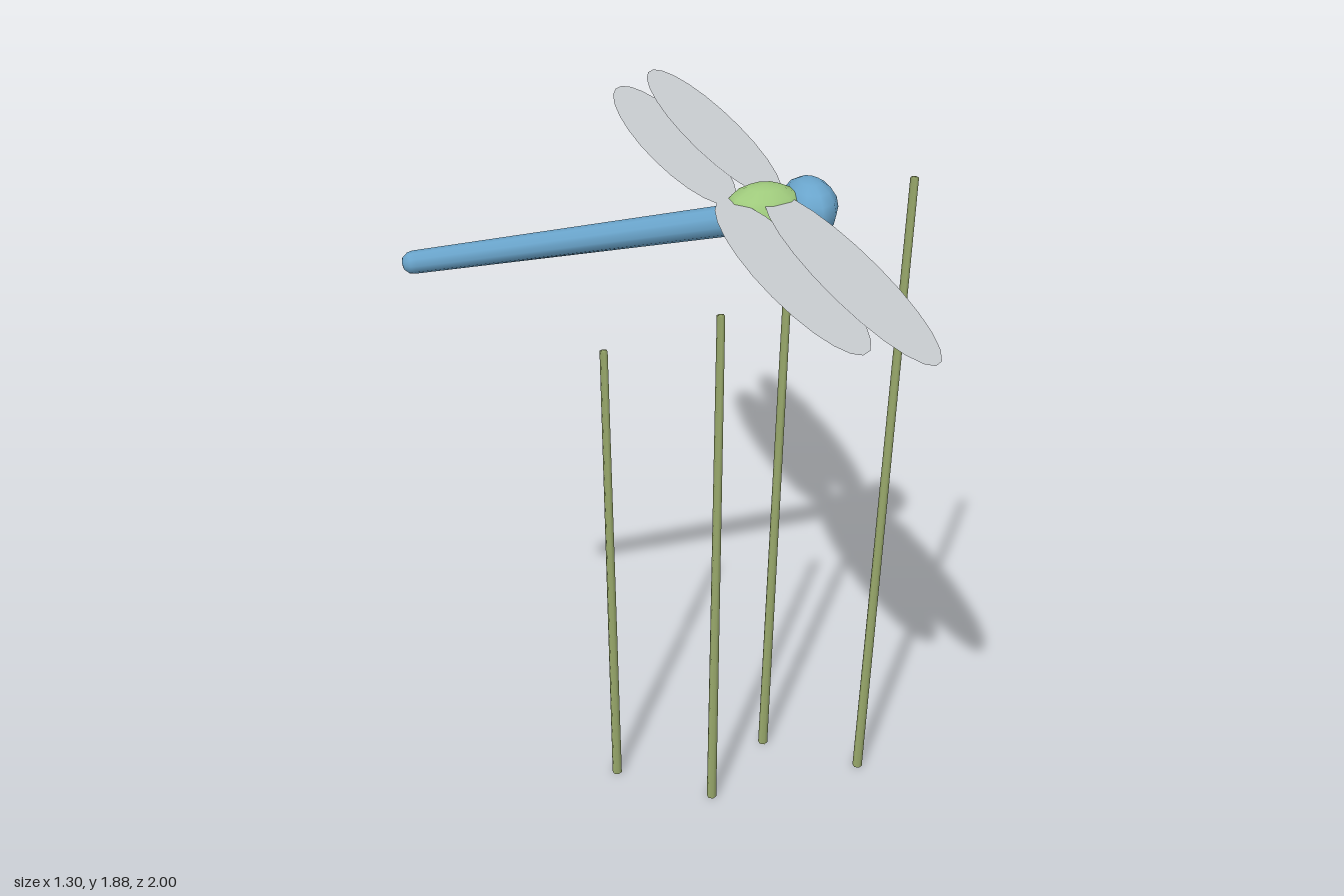
import * as THREE from 'three';
import { mergeVertices } from 'three/addons/utils/BufferGeometryUtils.js';

const flat = (name, color, side = THREE.FrontSide) => {
  const m = new THREE.MeshStandardMaterial({ color, side });
  m.name = name;
  return m;
};

export function createModel() {
  const blue = flat('blue', 0x6aa5cc);
  const green = flat('leafGreen', 0x9fca7c);
  const reed = flat('reedGreen', 0x9aaa6c);
  const wingGrey = flat('wingGrey', 0xc8ccd0, THREE.DoubleSide);

  const model = new THREE.Group();
  model.name = 'dragonflyOverReeds';
  const add = (name, geometry, material, x, y, z, parent = model) => {
    const mesh = new THREE.Mesh(geometry, material);
    mesh.name = name;
    mesh.position.set(x, y, z);
    parent.add(mesh);
    return mesh;
  };

  // Reeds: thin leaning stalks with softly shaded ends
  const reeds = new THREE.Group();
  reeds.name = 'reeds';
  model.add(reeds);
  const stalks = [ // base x, top x, height, z
    [-0.108, -0.133, 1.41, 0],
    [0.122, 0.122, 1.565, 0.193],
    [0.355, 0.383, 1.71, 0],
    [0.584, 0.636, 1.875, 0.193],
  ];
  for (const [x0, x1, h, z] of stalks) {
    let g = new THREE.CylinderGeometry(0.011, 0.014, h, 6);
    g.deleteAttribute('normal');
    g.deleteAttribute('uv');
    g = mergeVertices(g);
    g.computeVertexNormals();
    const stalk = add('reed', g, reed, (x0 + x1) / 2, h / 2, z, reeds);
    stalk.rotation.z = Math.atan2(x0 - x1, h);
  }

  // Insect body, lying along x with the head at +x
  const profile = [[0, -0.25], [0.042, -0.25], [0.029, 0.62], [0.026, 0.634], [0.016, 0.646], [0, 0.65]];
  const abdomen = add('abdomen',
    new THREE.LatheGeometry(profile.map(([r, y]) => new THREE.Vector2(r, y)), 10),
    blue, 0, 1.735, 0);
  abdomen.rotation.z = Math.PI / 2;

  const ball = new THREE.SphereGeometry(1, 10, 8).rotateY(Math.PI / 2);
  add('thorax', ball, green, 0.305, 1.735, 0).scale.set(0.12, 0.088, 0.09);
  add('head', ball, blue, 0.432, 1.747, 0).scale.set(0.073, 0.075, 0.1);

  // Flat oval wings, mirrored front to back
  const oval = new THREE.CircleGeometry(1, 24).rotateX(-Math.PI / 2);
  for (const side of [1, -1]) {
    add('foreWing', oval, wingGrey, 0.33, 1.789, side * 0.49).scale.set(0.085, 1, 0.51);
    add('hindWing', oval, wingGrey, 0.2, 1.787, side * 0.44).scale.set(0.09, 1, 0.46);
  }

  return model;
}
